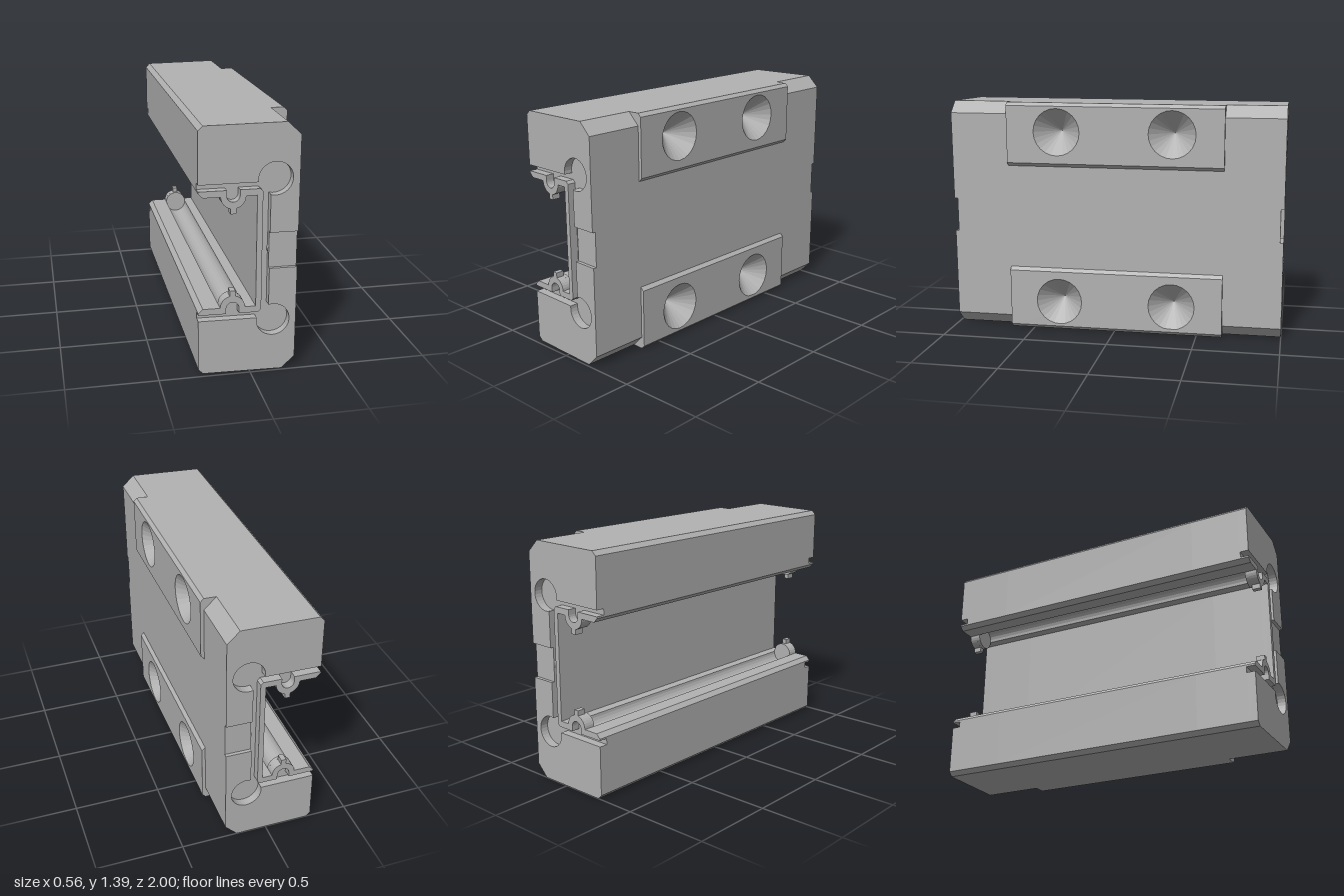
import * as THREE from 'three';

const H = 1.38; // overall height, profile mirrors about H / 2
const grey = new THREE.MeshStandardMaterial({ color: 0xb2b2b2, flatShading: true, side: THREE.DoubleSide });
grey.name = 'machined grey';

const flip = (pts) => pts.map(([x, y]) => [x, H - y]).reverse();
const toVec = (pts) => pts.map(([x, y]) => new THREE.Vector2(x, y));

function arc(cx, cy, r, from, to, n) {
  const pts = [];
  for (let i = 0; i <= n; i++) {
    const a = THREE.MathUtils.degToRad(from + (to - from) * i / n);
    pts.push([cx + r * Math.cos(a), cy + r * Math.sin(a)]);
  }
  return pts;
}

function makeShape(pts, holes = []) {
  const shape = new THREE.Shape(toVec(pts));
  for (const [x, y, r] of holes) shape.holes.push(new THREE.Path(toVec(arc(x, y, r, 0, 345, 23))));
  return shape;
}

// slight out-of-square skew shared by every part
function skew(geo) {
  const p = geo.attributes.position;
  for (let i = 0; i < p.count; i++) {
    const x = p.getX(i), y = p.getY(i), z = p.getZ(i);
    const dz = 0.038 * (0.25 - x) + 0.009 * (H - y);
    p.setXYZ(i,
      x + Math.max(x, 0) / 0.27 * (0.003 * z + 0.005 * (y - 0.69)),
      y * (1 + 0.012 * x + 0.002 * z),
      z - (z + 1) / 2 * dz);
  }
  geo.computeVertexNormals();
  return geo;
}

export function createModel() {
  const model = new THREE.Group();
  model.name = 'railCarriage';

  const add = (name, geo) => {
    const mesh = new THREE.Mesh(skew(geo), grey);
    mesh.name = name;
    model.add(mesh);
  };
  // extrude a profile between two z positions
  const slab = (name, shape, z0, z1) => {
    const geo = new THREE.ExtrudeGeometry(shape, { depth: z1 - z0, bevelEnabled: false });
    add(name, geo.translate(0, 0, z0));
  };
  // the same slab at the front and the back end
  const endSlabs = (name, shape, z0, z1) => {
    slab(name + 'Front', shape, z0, z1);
    slab(name + 'Back', shape, -z1, -z0);
  };

  // C-shaped body with a concave ball track in each jaw
  const bore = [0.14, 0.69, 0.045];
  const jaw = [
    [0.03, 0.38], ...arc(-0.095, 0.38, 0.067, 0, -180, 12),
    [-0.255, 0.38], [-0.28, 0.355], [-0.28, 0.025], [-0.255, 0],
  ];
  const endHalf = [...jaw, [0.18, 0], [0.25, 0.07]];
  const midHalf = [...jaw, [0.1, 0], [0.1, 0.38], [0.25, 0.38]];
  slab('bodyCentre', makeShape([...midHalf, ...flip(midHalf)], [bore]), -0.65, 0.65);
  endSlabs('bodyEnd', makeShape([...endHalf, ...flip(endHalf)], [bore]), 0.65, 0.95);

  // end faces: outer plates leave the round pockets and the seal groove open
  const plate = [
    [-0.28, 0.31], ...arc(0.125, 0.295, 0.09, 170.4, 466.1, 24),
    [0.1, 0.59], [0.25, 0.59], [0.25, 0.07], [0.18, 0], [-0.255, 0], [-0.28, 0.025],
  ];
  endSlabs('lowerEndPlate', makeShape(plate), 0.95, 1);
  endSlabs('upperEndPlate', makeShape(flip(plate)), 0.95, 1);
  const bridge = [[0.1, 0.59], [0.25, 0.59], [0.25, 0.79], [0.1, 0.79]];
  endSlabs('recessedBridge', makeShape(bridge, [bore]), 0.95, 0.98);

  // seal lip with an arch and a small stem over each track
  const lipHalf = [
    [0.03, 0.38], ...arc(-0.095, 0.38, 0.067, 0, 77, 6),
    [-0.08, 0.475], [-0.11, 0.475], ...arc(-0.095, 0.38, 0.067, 103, 180, 6),
    [-0.255, 0.38], [-0.28, 0.355], [-0.28, 0.345], [-0.13, 0.345],
    ...arc(-0.095, 0.375, 0.035, 180, 0, 10),
    [-0.06, 0.345], [0.045, 0.345], [0.06, 0.36],
  ];
  endSlabs('sealLip', makeShape([...lipHalf, ...flip(lipHalf)]), 0.95, 1);

  // discs closing the ends of the ball tracks
  const disc = arc(-0.095, 0.38, 0.067, 0, 345, 23);
  endSlabs('lowerTrackStop', makeShape(disc), 0.93, 0.95);
  endSlabs('upperTrackStop', makeShape(flip(disc)), 0.93, 0.95);

  // raised mounting pads with two countersinks each
  for (const [label, y0, holeY] of [['lower', 0, 0.175], ['upper', 1, 1.207]]) {
    const y1 = y0 + 0.38;
    const face = makeShape(
      [[-0.65, y0], [0.65, y0], [0.65, y1], [-0.65, y1]],
      [[-0.345, holeY, 0.14], [0.345, holeY, 0.14]]);
    const block = (x0, x1) =>
      new THREE.ExtrudeGeometry(face, { depth: x1 - x0, bevelEnabled: false })
        .rotateY(Math.PI / 2).translate(x0, 0, 0);
    add(label + 'PadBase', block(0.1, 0.25));

    // chamfer the long edges of the outer layer
    const cap = block(0.25, 0.27);
    const p = cap.attributes.position;
    for (let i = 0; i < p.count; i++) {
      if (p.getX(i) < 0.265) continue;
      p.setY(i, THREE.MathUtils.clamp(p.getY(i), y0 + 0.02, y1 - 0.02));
    }
    add(label + 'PadFace', cap);

    for (const z of [-0.345, 0.345]) {
      const cone = new THREE.CylinderGeometry(0.14, 0, 0.14, 24, 1, true)
        .rotateZ(-Math.PI / 2).translate(0.2, holeY, z);
      add(label + 'Countersink', cone);
    }
  }
  return model;
}
